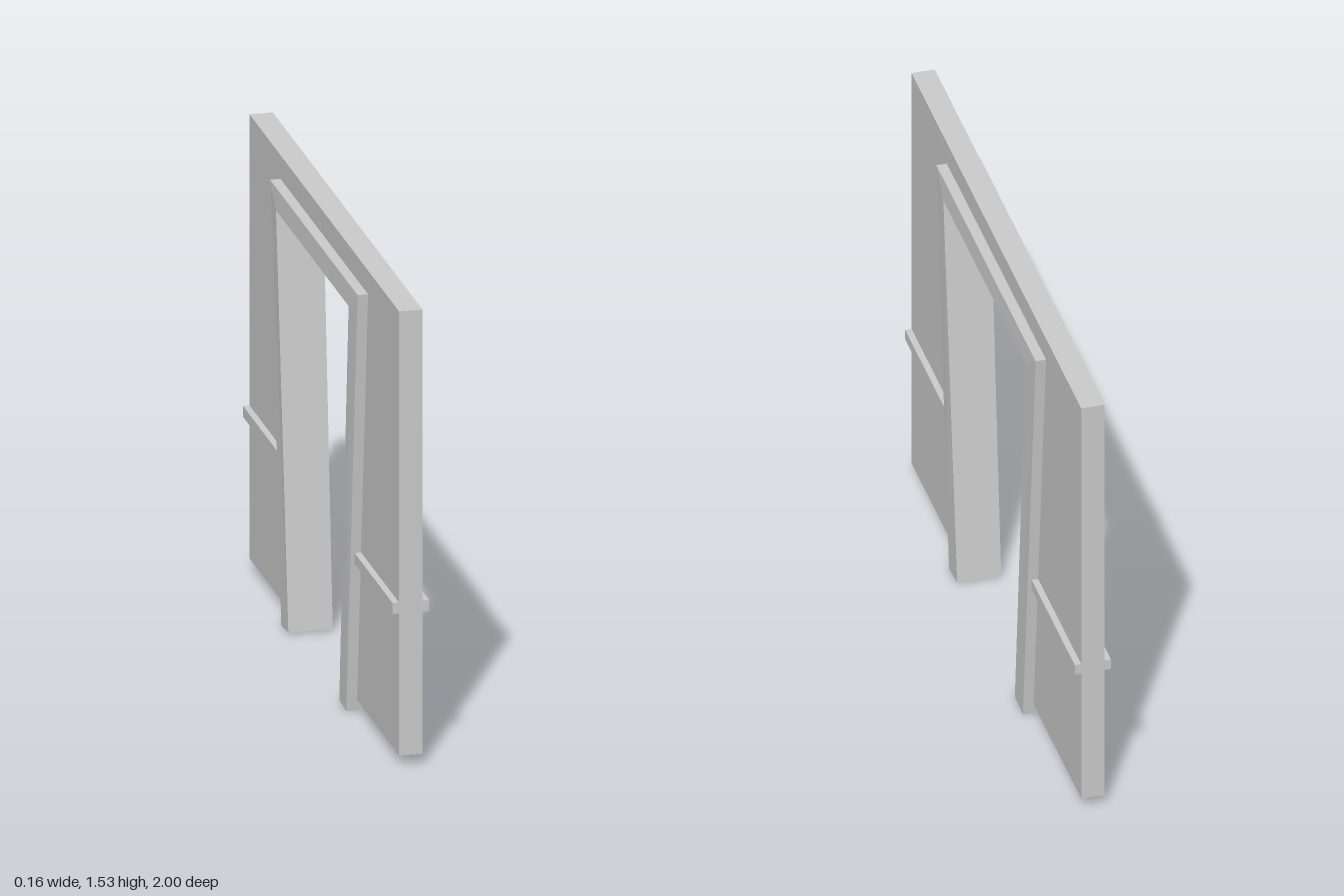
import * as THREE from 'three';

const material = new THREE.MeshStandardMaterial({ color: 0xcccccc, flatShading: true });

// z of the frame's slanted outer edge at height y
const outerZ = (y) => 0.435 + (0.15 * y) / 1.455;

// Extrude a (z, y) outline across x, centred on x
function slab(name, points, width, x = 0) {
  const shape = new THREE.Shape(points.map(([z, y]) => new THREE.Vector2(z, y)));
  const geometry = new THREE.ExtrudeGeometry(shape, { depth: width, bevelEnabled: false });
  geometry.translate(0, 0, -width / 2);
  geometry.rotateY(-Math.PI / 2);
  geometry.translate(x, 0, 0);
  const mesh = new THREE.Mesh(geometry, material);
  mesh.name = name;
  return mesh;
}

// Complete a half outline with its mirror image in z
const mirrored = (half) => [...half, ...half.map(([z, y]) => [-z, y]).reverse()];

export function createModel() {
  const group = new THREE.Group();
  group.name = 'doorwayWall';

  // Wall panel with a tapered opening that holds the frame
  group.add(slab('wall', mirrored([
    [outerZ(1.455), 1.455], [outerZ(0.035), 0.035], [1, 0.035], [1, 1.535],
  ]), 0.077));

  // Door frame, slightly thicker at the inner top corners
  const frame = slab('doorFrame', mirrored([
    [0.485, 1.385], [0.34, 0.007], [0.435, 0], [0.585, 1.455],
  ]), 0.146);
  const pos = frame.geometry.attributes.position;
  for (let i = 0; i < pos.count; i++) {
    if (Math.abs(pos.getY(i) - 1.385) < 0.01) pos.setX(i, Math.sign(pos.getX(i)) * 0.078);
  }
  frame.geometry.computeVertexNormals();
  group.add(frame);

  // Rails on both faces of the wall, either side of the opening
  for (const face of [-1, 1]) {
    for (const side of [-1, 1]) {
      const outline = [[outerZ(0.515), 0.515], [1, 0.515], [1, 0.552], [outerZ(0.552), 0.552]];
      group.add(slab('rail', outline.map(([z, y]) => [z * side, y]), 0.0215, face * 0.04925));
    }
  }
  return group;
}
